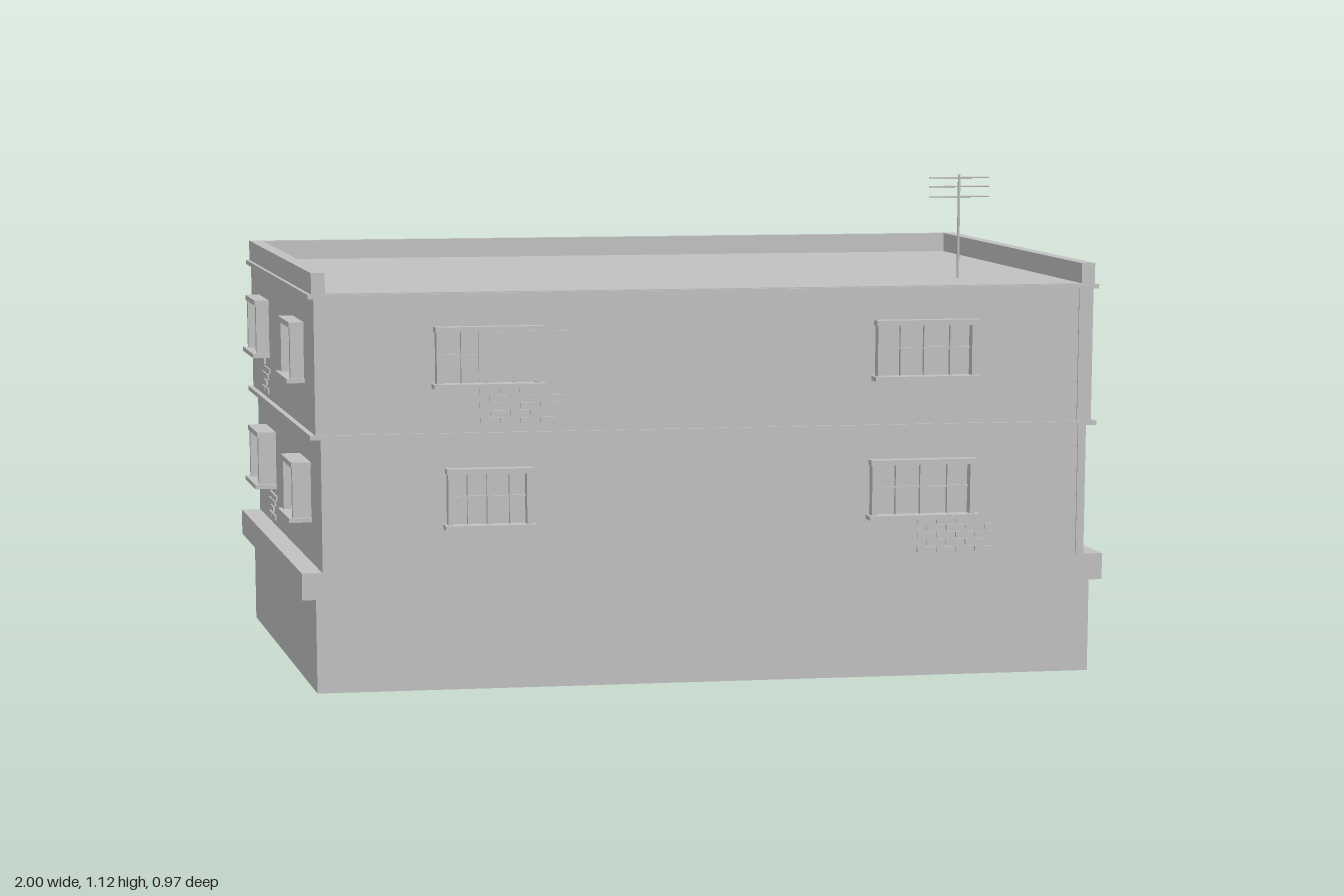
import * as THREE from 'three';
import { mergeGeometries } from 'three/addons/utils/BufferGeometryUtils.js';

// Half length and half depth of the skewed plan, along its own two directions
const U = 0.871, V = 0.4155;
const skew = new THREE.Matrix4().makeBasis(
  new THREE.Vector3(0.996, 0, -0.089),
  new THREE.Vector3(0, 1, 0),
  new THREE.Vector3(0.247, 0, 0.969));

// Box given by its limits in the plan directions
function box(u0, u1, y0, y1, v0, v1) {
  const g = new THREE.BoxGeometry(u1 - u0, y1 - y0, v1 - v0);
  return g.translate((u0 + u1) / 2, (y0 + y1) / 2, (v0 + v1) / 2);
}

// Box on a wall: s runs along the wall, d points outward
function wallBox(wall, s0, s1, y0, y1, d0, d1) {
  if (wall === 'front') return box(s0, s1, y0, y1, V + d0, V + d1);
  if (wall === 'back') return box(s0, s1, y0, y1, -V - d1, -V - d0);
  if (wall === 'left') return box(U + d0, U + d1, y0, y1, s0, s1);
  return box(-U - d1, -U - d0, y0, y1, s0, s1);
}

export function createModel() {
  const model = new THREE.Group();
  const grey = new THREE.MeshStandardMaterial({ color: 0xc0c0c0 });
  grey.name = 'plain grey';

  function add(name, ...parts) {
    const geometry = parts.length > 1 ? mergeGeometries(parts) : parts[0];
    const mesh = new THREE.Mesh(geometry.applyMatrix4(skew), grey);
    mesh.name = name;
    model.add(mesh);
  }

  // Walls
  add('base', box(-U, U, 0, 0.27, -V, V));
  add('lowerStorey', box(-U + 0.015, U - 0.015, 0.27, 0.565, -V, V));
  add('upperStorey', box(-U + 0.004, U - 0.004, 0.565, 0.885, -V, V));
  for (const wall of ['left', 'right']) {
    add(wall + 'Ledge', wallBox(wall, -V, V, 0.21, 0.27, 0, 0.03));
  }

  // Thin courses around the building
  for (const [name, y] of [['middleCourse', 0.565], ['roofCourse', 0.873]]) {
    add(name, box(-U - 0.008, U + 0.008, y, y + 0.01, -V - 0.005, V + 0.005));
  }

  // Slim corner strips on the long walls
  for (const wall of ['front', 'back']) {
    for (const side of [-1, 1]) {
      const lower = side * (U - 0.024), upper = side * (U - 0.02);
      add(wall + 'CornerStrips',
        wallBox(wall, lower - 0.009, lower + 0.009, 0.27, 0.565, -0.002, 0.003),
        wallBox(wall, upper - 0.016, upper + 0.016, 0.575, 0.873, -0.002, 0.003));
    }
  }

  // Parapet on three sides, open at the front
  add('sideParapet', box(-U, -U + 0.03, 0.88, 0.93, -V, V));
  add('sideParapet', box(U - 0.03, U, 0.88, 0.93, -V, V));
  add('backParapet', box(-U + 0.03, U - 0.03, 0.88, 0.93, -V, -V + 0.013));

  // Window: outer frame, glazing bars, lintel and sill
  function addWindow(wall, s, y, width) {
    const h = 0.125, a = s - width / 2, b = s + width / 2, t = 0.012;
    const out = wall === 'left' || wall === 'right' ? 0.026 : 0.018;
    const part = (s0, s1, y0, y1, d) => wallBox(wall, s0, s1, y0, y1, -0.016, d);
    const bars = [
      part(a, a + t, y, y + h, out),
      part(b - t, b, y, y + h, out),
      part(a - 0.003, b + 0.003, y + h - t, y + h, out + 0.003),
      part(a - 0.008, b + 0.008, y - 0.01, y, out + 0.01),
      part(a, b, y + 0.059, y + 0.063, 0.006),
    ];
    for (const [k, w] of [[0.25, 0.002], [0.5, 0.005], [0.75, 0.002]]) {
      const c = a + width * k;
      bars.push(part(c - w, c + w, y, y + h, 0.008));
    }
    add(wall + 'Window', ...bars);
  }
  const low = 0.372, high = 0.685;
  addWindow('front', -0.49, high, 0.23);
  addWindow('front', 0.485, high, 0.225);
  addWindow('front', -0.49, low, 0.185);
  addWindow('front', 0.48, low, 0.235);
  for (const y of [low, high]) {
    for (const s of [-0.48, 0.48]) addWindow('back', s, y, 0.225);
    for (const s of [-0.235, 0.225]) {
      addWindow('left', s, y, 0.13);
      addWindow('right', s, y, 0.13);
    }
  }

  // Boards fixed over some windows
  add('windowBoard', wallBox('front', -0.515, -0.305, 0.69, 0.8, 0.019, 0.023));
  add('windowBoard', wallBox('back', 0.35, 0.4, 0.69, 0.8, 0.019, 0.023));
  add('windowBoard', wallBox('back', -0.645, -0.54, 0.38, 0.49, 0.019, 0.023));

  // Patches of exposed bricks, staggered row by row
  function addBricks(wall, s, y, rows, columns) {
    const bricks = [], step = 0.044, ground = wall === 'left' || wall === 'right'
      ? (y < 0.5 ? -0.015 : -0.004) : 0;
    for (let r = 0; r < rows; r++) {
      const count = columns - (r % 3 === 1 ? 1 : 0);
      const start = s - columns * step / 2 + (r % 2) * step / 2;
      for (let c = 0; c < count; c++) {
        const a = start + c * step, b = y + r * 0.0165;
        bricks.push(wallBox(wall, a, a + 0.04, b, b + 0.012, ground - 0.002, ground + 0.004));
      }
    }
    add(wall + 'Bricks', ...bricks);
  }
  addBricks('front', -0.42, 0.595, 5, 4);
  addBricks('front', 0.56, 0.283, 5, 4);
  addBricks('left', -0.28, 0.587, 4, 3);
  addBricks('left', -0.265, 0.278, 5, 2);
  addBricks('right', -0.22, 0.587, 5, 2);
  addBricks('right', -0.22, 0.283, 5, 2);

  // Roof aerial
  const mast = new THREE.Mesh(new THREE.CylinderGeometry(0.003, 0.003, 0.24, 8), grey);
  mast.name = 'aerialMast';
  mast.position.set(0.68, 1.0, 0.197);
  model.add(mast);
  for (const y of [1.07, 1.093, 1.113]) {
    const rod = new THREE.Mesh(new THREE.CylinderGeometry(0.002, 0.002, 0.138, 6), grey);
    rod.name = 'aerialRod';
    rod.rotation.set(0, 0.09, Math.PI / 2);
    rod.position.set(0.68, y, 0.197);
    model.add(rod);
  }
  return model;
}
